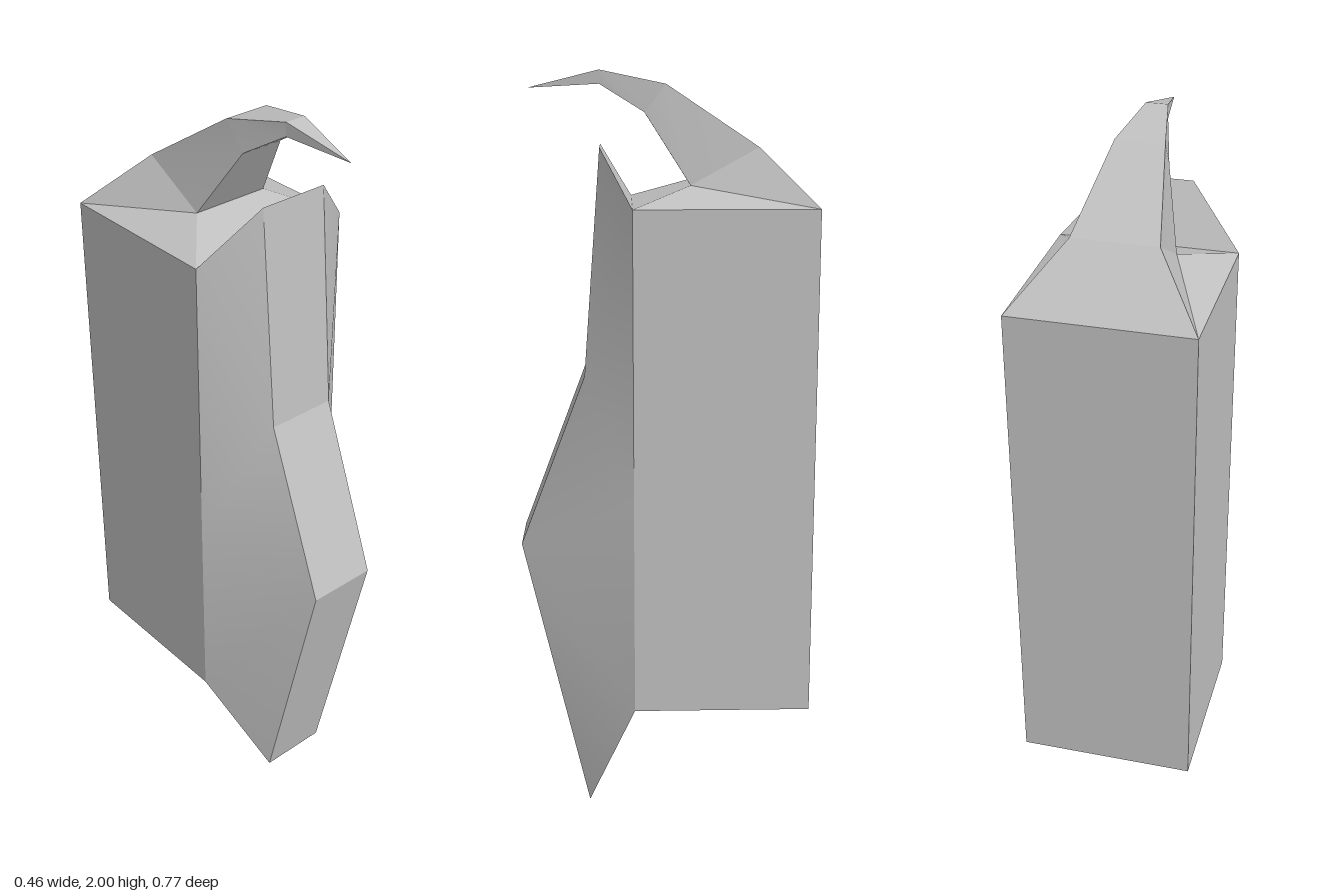
import * as THREE from 'three';

const grey = new THREE.MeshStandardMaterial({ color: 0xc0c0c0 });
grey.name = 'grey';

// Corners on the left (+x) half; the other half is mirrored
const keel = [[0.095, 0, 0.21], [0.095, 0.76, 0.385], [0.095, 1.22, 0.21], [0.095, 1.81, 0.165]];
const frontLow = [0.232, 0.33, 0.083], frontMid = [0.232, 0.91, 0.083], frontTop = [0.232, 1.665, 0.083];
const backLow = [0.232, 0.33, -0.385], backTop = [0.232, 1.665, -0.385];
const under = [[0.107, 1.715, -0.066], [0.059, 1.895, 0.05], [0.028, 1.965, 0.165]];
const over = [[0.028, 2, 0.165], [0.062, 1.965, -0.005], [0.108, 1.81, -0.24]];
const tip = [0, 1.955, 0.35];

const mirror = ([x, y, z]) => [-x, y, z];
const mirrored = (faces) => faces.concat(faces.map((f) => f.map(mirror).reverse()));

// Faces spanning from one side to the other along a rail of corners
const span = (rail) => rail.slice(1).map((b, i) => {
  const a = rail[i];
  if (a[0] === 0) return [a, b, mirror(b)];
  if (b[0] === 0) return [a, b, mirror(a)];
  return [a, b, mirror(b), mirror(a)];
});

function panel(name, faces, smooth = false) {
  const pos = [], index = [], seen = new Map();
  const vertex = (p) => {
    const key = p.join();
    if (smooth && seen.has(key)) return seen.get(key);
    const i = pos.length / 3;
    pos.push(...p);
    seen.set(key, i);
    return i;
  };
  for (const f of faces) {
    const ids = f.map(vertex);
    for (let i = 1; i < ids.length - 1; i++) index.push(ids[0], ids[i], ids[i + 1]);
  }
  const g = new THREE.BufferGeometry();
  g.setAttribute('position', new THREE.Float32BufferAttribute(pos, 3));
  g.setIndex(index);
  g.computeVertexNormals();
  const m = new THREE.Mesh(g, grey);
  m.name = name;
  return m;
}

export function createModel() {
  const model = new THREE.Group();
  model.name = 'hookedBlock';
  const [k0, k1, k2, k3] = keel, [u0, u1, u2] = under, [o0, o1, o2] = over;

  // Upright block: sides, back and base
  model.add(panel('block', [
    ...mirrored([[frontLow, backLow, backTop, frontTop]]),
    ...span([backTop, backLow, frontLow]),
  ]));

  // Bulging front with its lip and sloping underside
  model.add(panel('frontBulge', [...span([frontLow, ...keel]), ...span([k3, frontTop])]));

  // Softly shaded flanks joining the bulge to the block
  model.add(panel('flanks', mirrored([
    [k0, frontLow, k1], [k1, frontLow, frontMid], [k1, frontMid, k2],
    [k2, frontMid, frontTop], [k2, frontTop, k3],
  ]), true));

  // Sloping shoulders below the hook
  model.add(panel('shoulders', [...span([frontTop, u0]), ...mirrored([[frontTop, backTop, u0]])]));

  // Hook curving forward to a point
  model.add(panel('hook', [
    ...span([...under, tip, ...over, backTop]),
    ...mirrored([[backTop, o2, u0], [u0, o2, o1, u1], [u1, o1, o0, u2], [u2, o0, tip]]),
  ]));
  return model;
}
